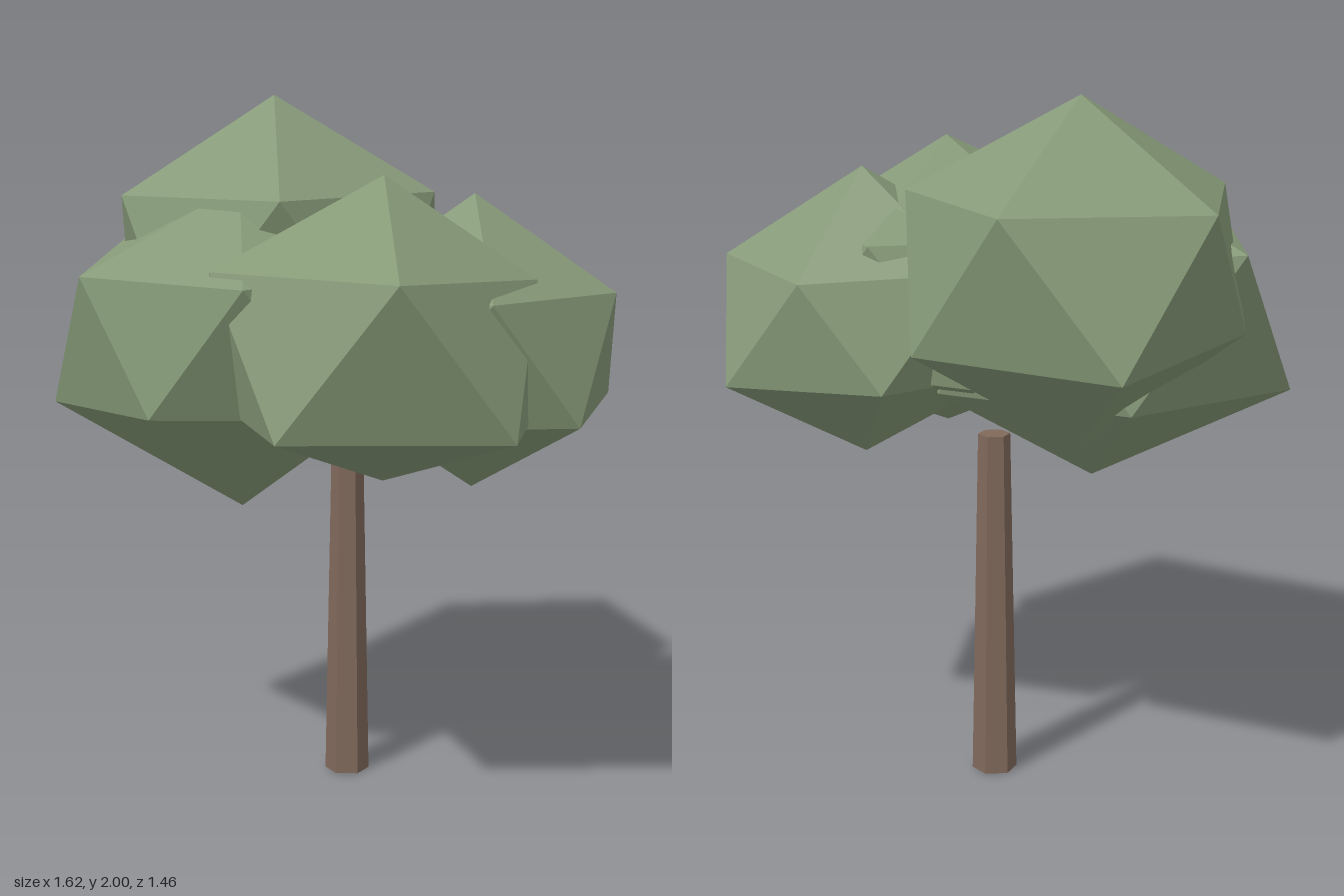
import * as THREE from 'three';

// Faceted leaf clump: a squashed 12-point ball whose points each have their own reach.
// upper radii sit at 0, 72, 144... degrees, lower radii at 36, 108, 180... (x towards z).
function clumpGeometry({ top, bottom, upper, lower }) {
  const ringPoint = (r, degrees, side) => {
    const a = THREE.MathUtils.degToRad(degrees);
    return [r * Math.cos(a), side * 0.4 * r, r * Math.sin(a)];
  };
  const u = upper.map((r, i) => ringPoint(r, 72 * i, 1));
  const l = lower.map((r, i) => ringPoint(r, 36 + 72 * i, -1));
  const t = [0, top, 0], b = [0, -bottom, 0];
  const corners = [];
  for (let i = 0; i < 5; i++) {
    const j = (i + 1) % 5;
    corners.push(t, u[j], u[i]);
    corners.push(u[i], u[j], l[i]);
    corners.push(l[i], u[j], l[j]);
    corners.push(b, l[i], l[j]);
  }
  const geometry = new THREE.BufferGeometry();
  geometry.setAttribute('position', new THREE.Float32BufferAttribute(corners.flat(), 3));
  geometry.computeVertexNormals();
  return geometry;
}

export function createModel() {
  const model = new THREE.Group();
  model.name = 'tree';

  const leaf = new THREE.MeshStandardMaterial({ color: 0x869a78 });
  leaf.name = 'leaf green';
  const bark = new THREE.MeshStandardMaterial({ color: 0x80695a });
  bark.name = 'bark brown';

  // Tapered six-sided trunk
  const trunkGeometry = new THREE.CylinderGeometry(0.046, 0.065, 1.02, 6, 1, false,
    THREE.MathUtils.degToRad(44)).toNonIndexed();
  trunkGeometry.computeVertexNormals();
  const trunk = new THREE.Mesh(trunkGeometry, bark);
  trunk.name = 'trunk';
  trunk.position.set(0.018, 0.51, -0.107);
  model.add(trunk);

  // Four overlapping leaf clumps
  const clumps = [
    { name: 'backClump', at: [-0.235, 1.541, -0.225], top: 0.459, bottom: 0.521,
      upper: [0.48, 0.53, 0.465, 0.476, 0.51], lower: [0.5, 0.5, 0.455, 0.535, 0.512] },
    { name: 'rightClump', at: [-0.24, 1.353, 0.1], top: 0.422, bottom: 0.503,
      upper: [0.5, 0.51, 0.468, 0.556, 0.5], lower: [0.45, 0.435, 0.57, 0.5, 0.5] },
    { name: 'frontClump', at: [0.2, 1.387, 0.2], top: 0.438, bottom: 0.412,
      upper: [0.425, 0.557, 0.5, 0.475, 0.475], lower: [0.54, 0.53, 0.5, 0.5, 0.5] },
    { name: 'leftClump', at: [0.41, 1.338, 0], top: 0.422, bottom: 0.413,
      upper: [0.4, 0.455, 0.42, 0.42, 0.367], lower: [0.43, 0.43, 0.42, 0.385, 0.43] },
  ];
  for (const clump of clumps) {
    const mesh = new THREE.Mesh(clumpGeometry(clump), leaf);
    mesh.name = clump.name;
    mesh.position.set(...clump.at);
    model.add(mesh);
  }
  return model;
}
